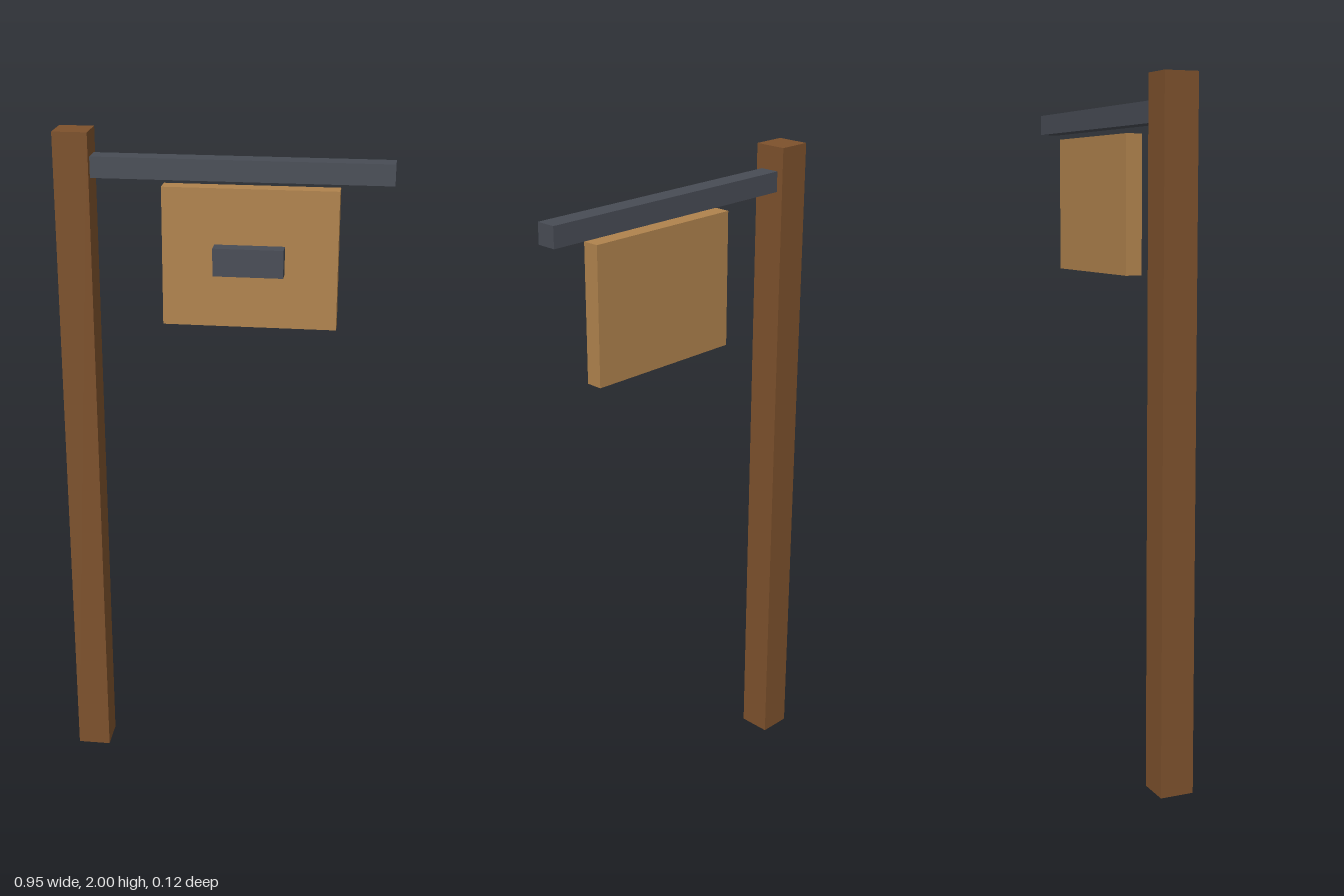
import * as THREE from 'three';

export function createModel() {
  const group = new THREE.Group();
  group.name = 'hangingSign';

  const material = (name, color) => {
    const m = new THREE.MeshStandardMaterial({ color });
    m.name = name;
    return m;
  };
  const darkWood = material('dark wood', 0x7d512c);
  const lightWood = material('light wood', 0xb0834d);
  const iron = material('dark iron', 0x484c55);

  // Box given by its size and centre
  const box = (name, size, centre, mat) => {
    const mesh = new THREE.Mesh(new THREE.BoxGeometry(...size), mat);
    mesh.name = name;
    mesh.position.set(...centre);
    group.add(mesh);
  };

  // Upright post
  box('post', [0.1, 2, 0.1], [-0.425, 1, -0.01], darkWood);
  // Crossbar, set into the post
  box('crossbar', [0.9, 0.06, 0.06], [0.025, 1.9, -0.01], iron);
  // Sign board just below the crossbar
  box('signBoard', [0.5, 0.4, 0.05], [0.075, 1.65, -0.01], lightWood);
  // Raised block on the front of the board
  box('frontBlock', [0.2, 0.08, 0.05], [0.075, 1.65, 0.035], iron);

  return group;
}
